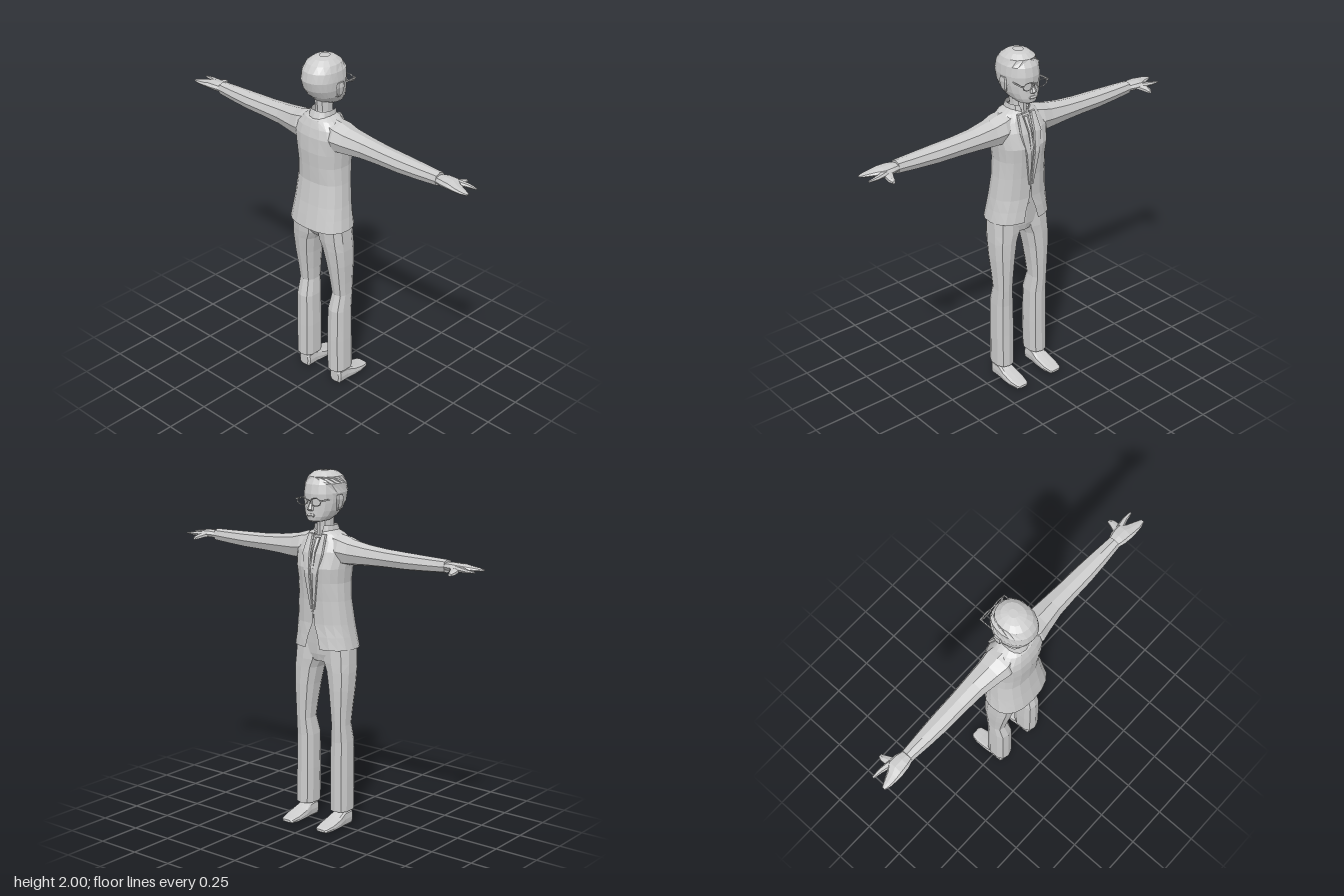
import * as THREE from 'three';

const grey = new THREE.MeshStandardMaterial({ color: 0xcccccc, flatShading: true, side: THREE.DoubleSide });
grey.name = 'light grey';

const spow = (v, e) => Math.sign(v) * Math.abs(v) ** e;

// Loft of rounded-box rings. Row: [height, x0, x1, zBack, zFront, gap], rising.
// The gap is an angle left open at the front (-z) of the ring.
function loft(rows, sides = 10, power = 2.4, capped = true) {
  const pos = [], idx = [], w = sides + 1, e = 2 / power;
  const ring = ([y, x0, x1, zb, zf, gap = 0]) => {
    for (let j = 0; j <= sides; j++) {
      const a = gap + (j / sides) * (Math.PI * 2 - gap * 2);
      pos.push((x0 + x1) / 2 + (x1 - x0) / 2 * spow(Math.sin(a), e), y,
        (zb + zf) / 2 - (zb - zf) / 2 * spow(Math.cos(a), e));
    }
  };
  rows.forEach((row, i) => {
    ring(row);
    if (!i) return;
    for (let j = 0; j < sides; j++) {
      const a = (i - 1) * w + j, d = a + w;
      idx.push(a, d, d + 1, a, d + 1, a + 1);
    }
  });
  if (capped) {
    [0, rows.length - 1].forEach((i) => {
      const [y, x0, x1, zb, zf] = rows[i], c = pos.length / 3;
      pos.push((x0 + x1) / 2, y, (zb + zf) / 2);
      for (let j = 0; j < sides; j++) {
        const a = i * w + j;
        idx.push(...(i ? [c, a + 1, a] : [c, a, a + 1]));
      }
    });
  }
  const g = new THREE.BufferGeometry();
  g.setAttribute('position', new THREE.Float32BufferAttribute(pos, 3));
  g.setIndex(idx);
  g.computeVertexNormals();
  return g;
}

// Rows [x, yBottom, yTop, zBack, zFront], running sideways
const loftX = (rows, ...o) =>
  loft(rows.map(([x, y0, y1, zb, zf]) => [x, -y1, -y0, zb, zf]), ...o).rotateZ(-Math.PI / 2);
// Rows [-z, x0, x1, yTop, yBottom], running forwards
const loftZ = (rows, ...o) => loft(rows, ...o).rotateX(-Math.PI / 2);
// Rows [y, halfWidth, zBack, zFront, gap], symmetric in x
const body = (rows, ...o) => loft(rows.map(([y, r, ...z]) => [y, -r, r, ...z]), ...o);

function mirrored(g) {
  const m = g.clone().scale(-1, 1, 1), ix = m.index.array;
  for (let i = 0; i < ix.length; i += 3) [ix[i], ix[i + 1]] = [ix[i + 1], ix[i]];
  m.computeVertexNormals();
  return m;
}

export function createModel() {
  const model = new THREE.Group();
  const add = (name, g) => {
    const m = new THREE.Mesh(g, grey);
    m.name = name;
    model.add(m);
  };
  const pair = (name, g) => {
    add(name + 'A', g);
    add(name + 'B', mirrored(g));
  };

  // Head, with a slightly larger hair shell open at the face
  const skull = [
    [1.73, 0.035, 0.0, -0.092], [1.737, 0.055, 0.03, -0.1], [1.76, 0.076, 0.08, -0.104],
    [1.79, 0.091, 0.112, -0.102], [1.83, 0.1, 0.138, -0.102], [1.88, 0.104, 0.152, -0.104],
    [1.93, 0.098, 0.143, -0.094], [1.965, 0.083, 0.118, -0.07], [1.988, 0.055, 0.085, -0.04],
    [1.996, 0.022, 0.045, -0.005],
  ];
  add('head', body(skull, 16, 2.2));
  const hairGap = { 1.79: 1.6, 1.83: 1.3, 1.88: 1.1, 1.93: 0.75 };
  add('hair', body(skull.slice(3).map(([y, r, b, f]) =>
    [y + 0.004, r + 0.004, b + 0.004, f - 0.004, hairGap[y] ?? 0]), 16, 2.2, false));
  add('nose', body([[1.792, 0.017, -0.09, -0.115], [1.8, 0.018, -0.09, -0.126],
    [1.825, 0.011, -0.09, -0.115], [1.85, 0.008, -0.09, -0.106]], 6));
  add('lips', body([[1.757, 0.018, -0.09, -0.108], [1.766, 0.028, -0.09, -0.114],
    [1.775, 0.018, -0.09, -0.109]], 6));
  pair('ear', loft([[1.79, 0.088, 0.1, 0.025, 0.0], [1.81, 0.092, 0.112, 0.032, -0.008],
    [1.85, 0.096, 0.118, 0.042, -0.015], [1.875, 0.097, 0.115, 0.035, -0.01]], 8));

  // Glasses
  pair('glassesRim', new THREE.TorusGeometry(0.032, 0.004, 4, 10)
    .scale(1.1, 0.65, 1).translate(0.045, 1.842, -0.12));
  pair('glassesTemple', new THREE.BoxGeometry(0.005, 0.008, 0.13).translate(0.088, 1.852, -0.055));
  pair('glassesHinge', new THREE.BoxGeometry(0.016, 0.008, 0.005).translate(0.083, 1.852, -0.12));
  add('glassesBridge', new THREE.BoxGeometry(0.024, 0.006, 0.006).translate(0, 1.848, -0.12));

  // Neck, shirt and tie
  add('neck', body([[1.62, 0.05, 0.085, -0.03], [1.7, 0.044, 0.074, -0.025],
    [1.77, 0.046, 0.08, -0.03]], 10, 2.1));
  add('shirt', body([[1.12, 0.14, 0.12, -0.065], [1.3, 0.135, 0.11, -0.075], [1.48, 0.14, 0.12, -0.097],
    [1.57, 0.14, 0.12, -0.072], [1.65, 0.07, 0.09, -0.036]], 12));
  add('tie', body([[1.2, 0.006, -0.06, -0.082], [1.27, 0.018, -0.065, -0.088], [1.48, 0.014, -0.09, -0.108],
    [1.57, 0.011, -0.065, -0.087], [1.64, 0.017, -0.025, -0.055]], 6));

  // Jacket, open down the front and cut away at the hem
  add('jacket', body([
    [1.03, 0.19, 0.175, -0.095, 0.2], [1.1, 0.178, 0.163, -0.09, 0.13], [1.17, 0.168, 0.15, -0.085, 0.02],
    [1.3, 0.155, 0.132, -0.09, 0.01], [1.4, 0.15, 0.138, -0.1, 0.04], [1.48, 0.158, 0.145, -0.11, 0.07],
    [1.57, 0.17, 0.142, -0.085, 0.11], [1.62, 0.15, 0.13, -0.06, 0.15], [1.66, 0.1, 0.115, -0.045, 0.2],
    [1.68, 0.06, 0.09, -0.03, 0.25],
  ], 18, 2.4, false));
  add('collar', body([[1.63, 0.07, 0.115, -0.045, 0.2], [1.67, 0.066, 0.108, -0.04, 0.3],
    [1.705, 0.06, 0.092, -0.035, 0.45]], 12, 2.4, false));
  pair('lapel', loft([[1.25, 0.004, 0.014, -0.08, -0.094], [1.45, 0.01, 0.046, -0.095, -0.112],
    [1.56, 0.018, 0.07, -0.075, -0.096], [1.66, 0.03, 0.058, -0.03, -0.054]], 8, 4));

  // Arms and hands
  pair('sleeve', loftX([
    [0.05, 1.5, 1.672, 0.105, -0.04], [0.13, 1.495, 1.656, 0.12, -0.06], [0.19, 1.498, 1.638, 0.105, -0.052],
    [0.3, 1.508, 1.622, 0.086, -0.045], [0.42, 1.513, 1.612, 0.08, -0.038], [0.55, 1.515, 1.607, 0.078, -0.034],
    [0.68, 1.522, 1.603, 0.07, -0.025], [0.795, 1.53, 1.6, 0.06, -0.015],
  ], 8));
  pair('hand', loftX([
    [0.78, 1.545, 1.585, 0.055, -0.01], [0.83, 1.545, 1.59, 0.07, -0.026], [0.88, 1.548, 1.588, 0.076, -0.03],
    [0.915, 1.55, 1.58, 0.075, 0.0], [0.96, 1.553, 1.573, 0.072, 0.022], [0.995, 1.558, 1.566, 0.062, 0.04],
  ], 8));
  pair('indexFinger', loftX([[0.87, 1.55, 1.582, 0.015, -0.03], [0.94, 1.553, 1.573, -0.01, -0.038],
    [0.99, 1.557, 1.565, -0.02, -0.034]], 6));
  pair('thumb', loftZ([[0, 0.81, 0.875, 1.58, 1.55], [0.03, 0.845, 0.9, 1.57, 1.545],
    [0.065, 0.862, 0.9, 1.562, 1.538], [0.086, 0.87, 0.89, 1.553, 1.538]], 6));

  // Trousers
  add('hips', body([[0.95, 0.09, 0.09, -0.04], [0.99, 0.16, 0.12, -0.05], [1.05, 0.172, 0.132, -0.055],
    [1.15, 0.15, 0.12, -0.062]], 12));
  pair('trouserLeg', loft([
    [0.095, 0.065, 0.178, 0.095, -0.05], [0.3, 0.062, 0.178, 0.096, -0.047], [0.5, 0.065, 0.176, 0.094, -0.045],
    [0.6, 0.077, 0.172, 0.068, -0.05], [0.68, 0.07, 0.176, 0.08, -0.053], [0.8, 0.055, 0.185, 0.1, -0.056],
    [0.9, 0.036, 0.188, 0.115, -0.056], [0.95, 0.012, 0.187, 0.122, -0.055], [1.05, 0.0, 0.183, 0.13, -0.05],
  ], 10, 2.6));

  // Shoes
  pair('shoe', loftZ([
    [-0.07, 0.092, 0.155, 0.08, 0.01], [-0.06, 0.08, 0.167, 0.095, 0], [0.0, 0.08, 0.167, 0.092, 0],
    [0.05, 0.073, 0.173, 0.066, 0.004], [0.12, 0.073, 0.173, 0.044, 0.006], [0.165, 0.082, 0.163, 0.034, 0.008],
    [0.176, 0.095, 0.15, 0.028, 0.014],
  ], 12, 3.5));

  return model;
}
